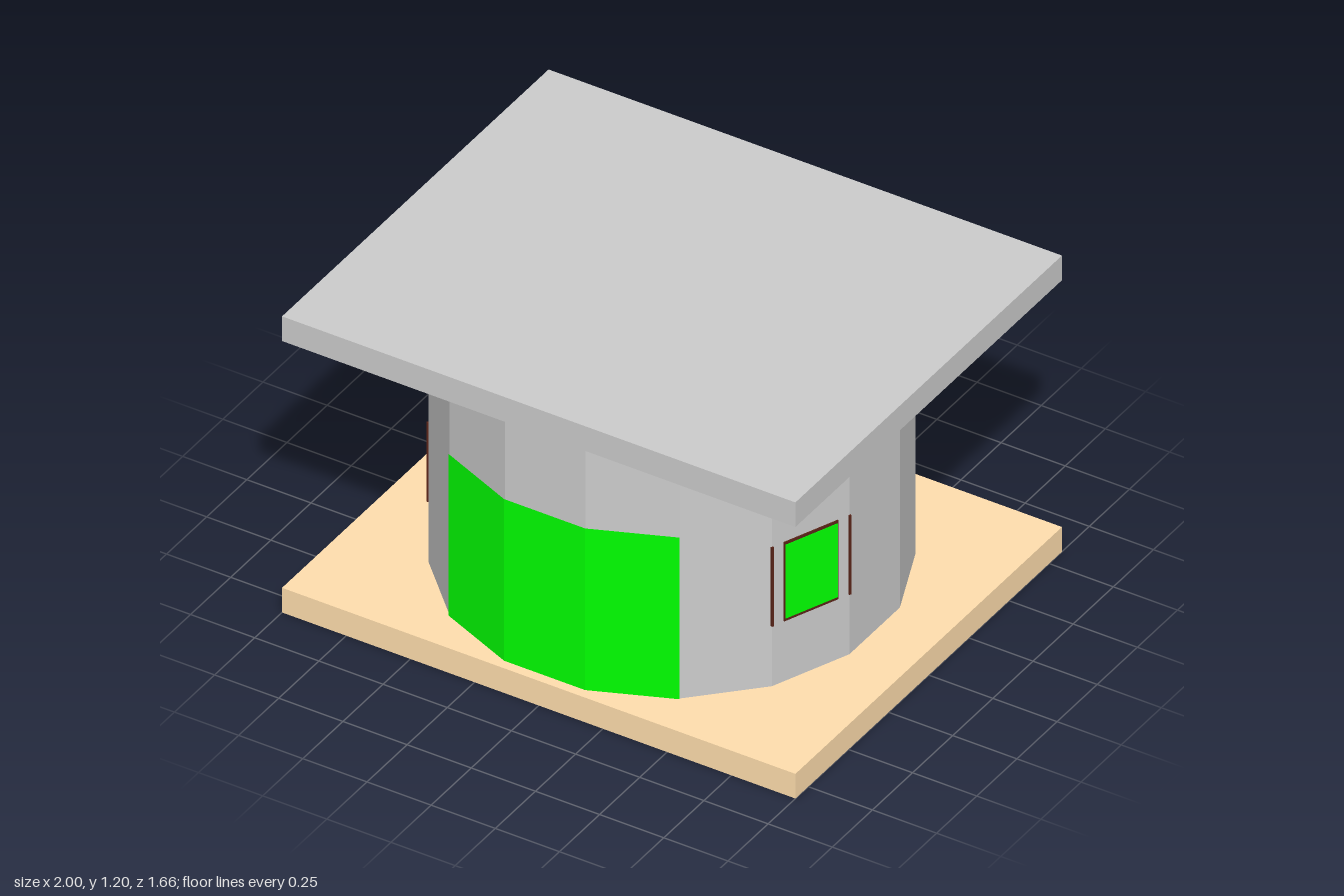
import * as THREE from 'three';

const SIDES = 16;
const STEP = (Math.PI * 2) / SIDES;
const RADIUS = 0.805;
const APOTHEM = RADIUS * Math.cos(STEP / 2);
const FACET = 2 * RADIUS * Math.sin(STEP / 2);

const paint = (color) => new THREE.MeshStandardMaterial({ color, flatShading: true });

function box(parent, name, material, [w, h, d], [x, y, z]) {
  const mesh = new THREE.Mesh(new THREE.BoxGeometry(w, h, d), material);
  mesh.name = name;
  mesh.position.set(x, y, z);
  parent.add(mesh);
  return mesh;
}

// A group turned so that its local z = 0 plane lies on the given wall facet
function onFacet(parent, name, index) {
  const group = new THREE.Group();
  group.name = name;
  const angle = index * STEP;
  group.rotation.y = angle;
  group.position.set(Math.sin(angle) * APOTHEM, 0, Math.cos(angle) * APOTHEM);
  parent.add(group);
  return group;
}

export function createModel() {
  const model = new THREE.Group();
  model.name = 'roundHouse';
  const grey = paint(0xcccccc);
  const tan = paint(0xffdead);
  const green = paint(0x00ff00);
  const brown = paint(0x6b4226);
  const darkWood = paint(0x5a2418);

  // Rectangular floor slab and flat roof
  box(model, 'floorSlab', tan, [2, 0.1, 1.66], [0, 0.05, 0]);
  box(model, 'roof', grey, [2, 0.1, 1.66], [0, 1.15, 0]);

  // Sixteen-sided wall with a facet facing straight forward
  const wall = new THREE.Mesh(
    new THREE.CylinderGeometry(RADIUS, RADIUS, 1, SIDES, 1, false, STEP / 2), grey);
  wall.name = 'wall';
  wall.position.y = 0.6;
  model.add(wall);

  // Glazed front covering the three front facets
  const glass = green.clone();
  glass.side = THREE.DoubleSide;
  const front = new THREE.Mesh(
    new THREE.CylinderGeometry(RADIUS + 0.004, RADIUS + 0.004, 0.655, 3, 1, true, -1.5 * STEP, 3 * STEP), glass);
  front.name = 'frontGlazing';
  front.position.y = 0.4275;
  model.add(front);

  // Windows: a pane with a thin surround and slim posts at the facet edges
  for (const [name, index] of [['windowLeft', 3], ['windowRight', -3], ['windowBack', -6]]) {
    const win = onFacet(model, name, index);
    box(win, 'windowSurround', darkWood, [0.22, 0.32, 0.008], [0, 0.505, 0]);
    box(win, 'windowPane', green, [0.212, 0.298, 0.012], [0, 0.505, 0]);
    for (const side of [-1, 1]) {
      box(win, 'windowPost', darkWood, [0.008, 0.32, 0.012], [side * FACET / 2, 0.505, 0]);
    }
  }

  // Back door with jambs and lintel
  const door = onFacet(model, 'door', SIDES / 2);
  box(door, 'doorPanel', brown, [0.226, 0.54, 0.008], [0, 0.37, 0]);
  for (const side of [-1, 1]) {
    box(door, 'doorJamb', tan, [0.048, 0.61, 0.016], [side * 0.137, 0.405, 0]);
  }
  box(door, 'doorLintel', tan, [0.226, 0.07, 0.016], [0, 0.675, 0]);

  return model;
}
